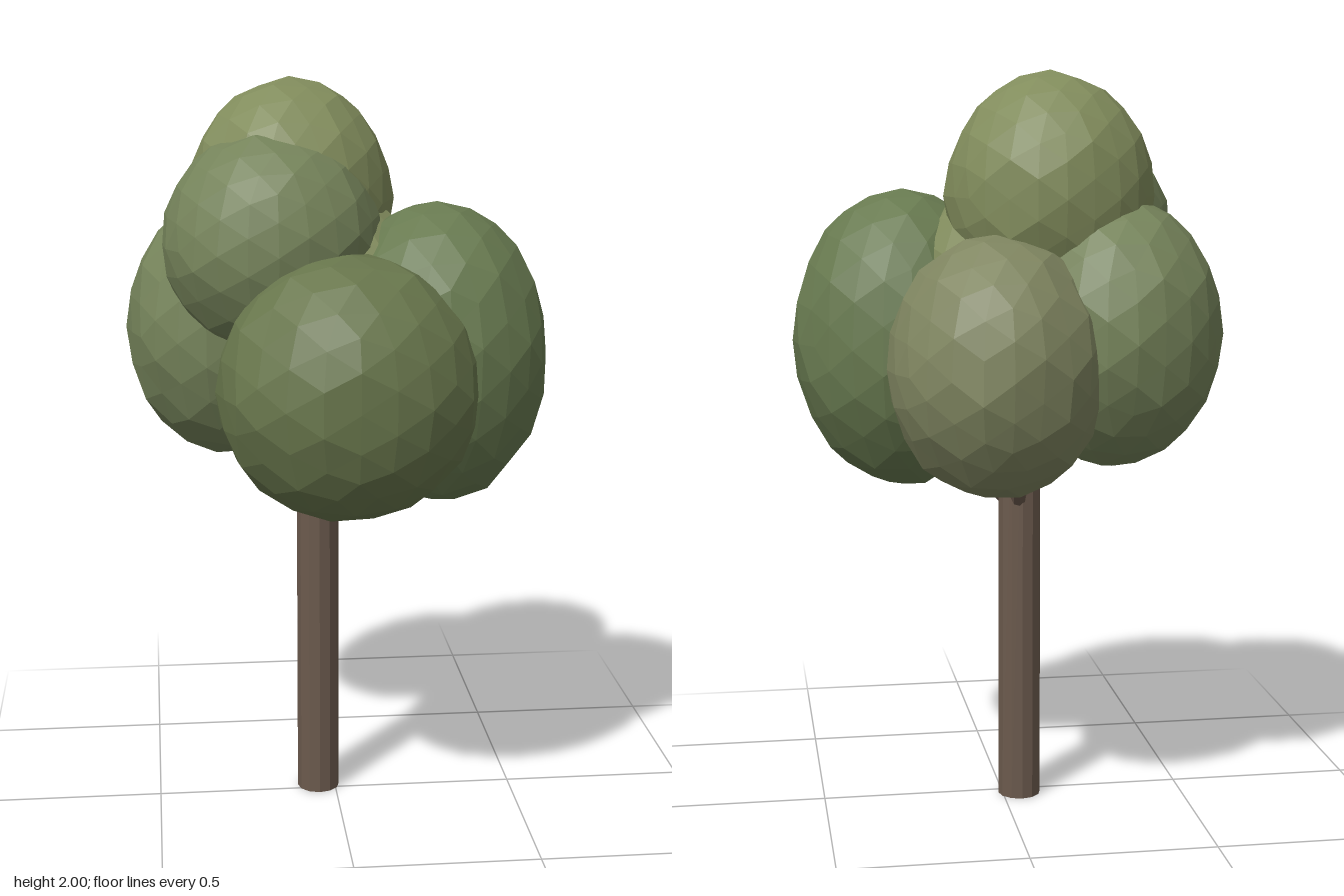
import * as THREE from 'three';

const bark = new THREE.MeshStandardMaterial({ color: 0x6b5a4d, flatShading: true });

// Faceted ellipsoid of leaves with slightly uneven surface
function foliage(name, [x, y, z], [rx, ry, rz], color, seed) {
  const geo = new THREE.IcosahedronGeometry(1, 3);
  const pos = geo.attributes.position;
  const v = new THREE.Vector3();
  for (let i = 0; i < pos.count; i++) {
    v.fromBufferAttribute(pos, i);
    const bump = Math.sin(v.x * 7 + seed) * Math.sin(v.y * 6 + seed * 2) * Math.sin(v.z * 8 + seed * 3);
    v.multiplyScalar(1 + 0.03 * bump);
    pos.setXYZ(i, v.x * rx, v.y * ry, v.z * rz);
  }
  geo.computeVertexNormals();
  const mesh = new THREE.Mesh(geo, new THREE.MeshStandardMaterial({ color, flatShading: true }));
  mesh.name = name;
  mesh.position.set(x, y, z);
  return mesh;
}

// Tapered cylinder between two points
function limb(name, from, to, r0, r1, sides) {
  const a = new THREE.Vector3(...from), b = new THREE.Vector3(...to);
  const dir = b.clone().sub(a);
  const mesh = new THREE.Mesh(new THREE.CylinderGeometry(r1, r0, dir.length(), sides), bark);
  mesh.name = name;
  mesh.position.copy(a).add(b).multiplyScalar(0.5);
  mesh.quaternion.setFromUnitVectors(new THREE.Vector3(0, 1, 0), dir.normalize());
  return mesh;
}

export function createModel() {
  const tree = new THREE.Group();
  tree.name = 'tree';

  // Trunk and the branches into the crown
  tree.add(limb('trunk', [-0.047, 0, -0.025], [-0.047, 1.3, -0.025], 0.059, 0.057, 12));
  tree.add(limb('leftBranch', [-0.02, 0.84, 0], [0.25, 1.12, 0.03], 0.022, 0.018, 8));
  tree.add(limb('backBranch', [-0.04, 0.84, -0.05], [0, 1.12, -0.34], 0.022, 0.018, 8));

  // Crown: four lower clumps, a core and two upper clumps
  const crown = new THREE.Group();
  crown.name = 'crown';
  crown.add(
    foliage('frontFoliage', [0.01, 1.235, 0.27], [0.345, 0.347, 0.298], 0x68764c, 1),
    foliage('leftFoliage', [0.26, 1.285, 0.08], [0.3, 0.405, 0.295], 0x687a50, 2),
    foliage('backFoliage', [0.05, 1.25, -0.28], [0.287, 0.342, 0.287], 0x7f8560, 3),
    foliage('rightFoliage', [-0.275, 1.325, -0.17], [0.287, 0.36, 0.305], 0x75835a, 4),
    foliage('coreFoliage', [-0.03, 1.4, -0.02], [0.3, 0.31, 0.27], 0x808a5c, 5),
    foliage('upperFrontFoliage', [-0.17, 1.58, 0.03], [0.293, 0.295, 0.265], 0x75835a, 6),
    foliage('topFoliage', [-0.115, 1.68, -0.1], [0.277, 0.32, 0.26], 0x818c5c, 7),
  );
  tree.add(crown);
  return tree;
}
